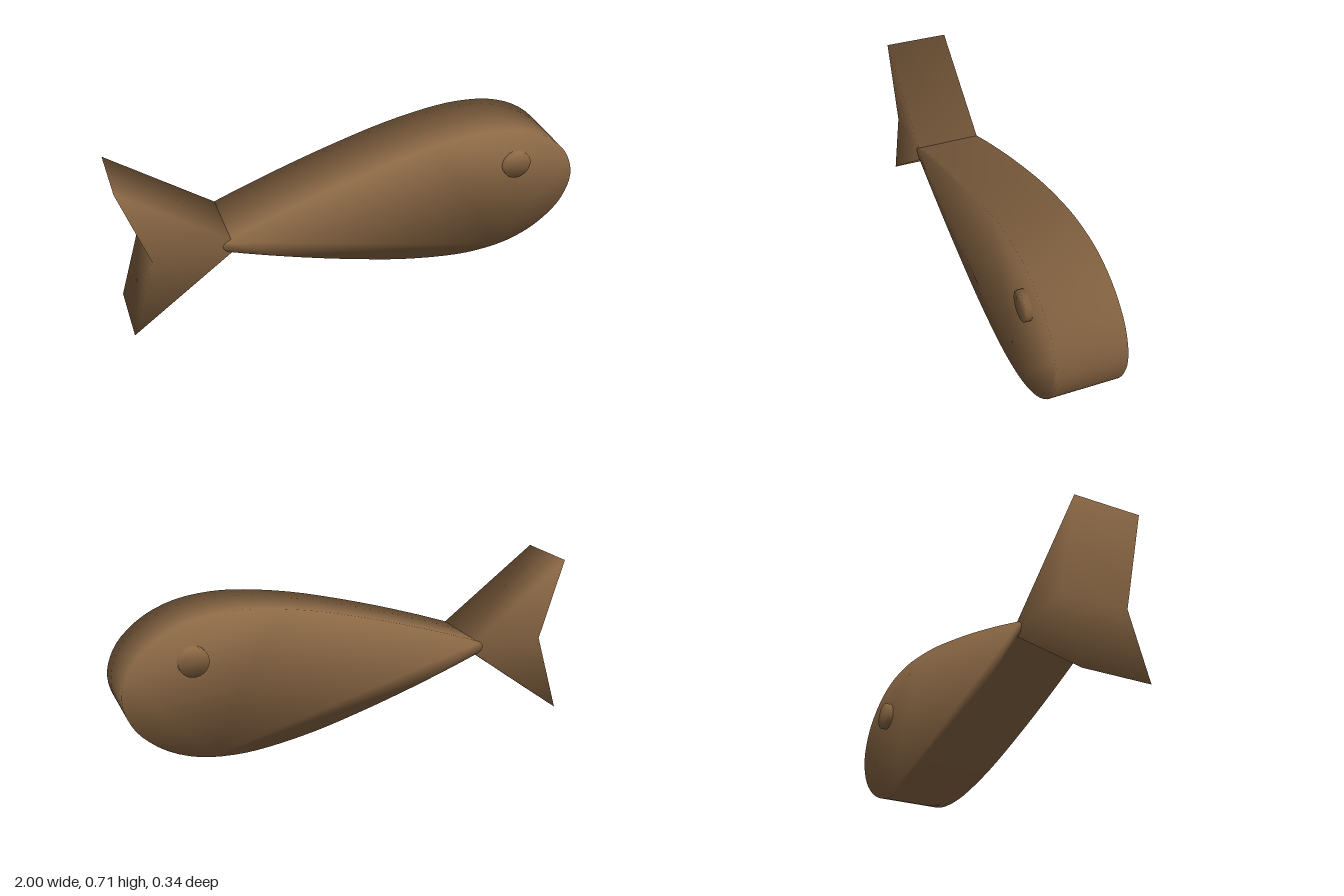
import * as THREE from 'three';

const MID = 0.355; // height of the fish's centre line

// Flat slab from a counter-clockwise outline; rim normals blend face and side for a soft look
function slab(outline, halfDepth) {
  const n = outline.length, pos = [], nor = [], idx = [];
  const edgeNormal = (a, b) => new THREE.Vector2(b.y - a.y, a.x - b.x).normalize();
  for (const s of [1, -1]) {
    outline.forEach((p, i) => {
      const side = edgeNormal(outline[(i + n - 1) % n], p)
        .add(edgeNormal(p, outline[(i + 1) % n])).normalize();
      const v = new THREE.Vector3(side.x, side.y, s).normalize();
      pos.push(p.x, p.y, s * halfDepth);
      nor.push(v.x, v.y, v.z);
    });
  }
  for (const [a, b, c] of THREE.ShapeUtils.triangulateShape(outline, [])) {
    idx.push(a, b, c, n + a, n + c, n + b);
  }
  for (let i = 0; i < n; i++) {
    const j = (i + 1) % n;
    idx.push(i, n + i, j, j, n + i, n + j);
  }
  const g = new THREE.BufferGeometry();
  g.setAttribute('position', new THREE.Float32BufferAttribute(pos, 3));
  g.setAttribute('normal', new THREE.Float32BufferAttribute(nor, 3));
  g.setIndex(idx);
  return g;
}

export function createModel() {
  const model = new THREE.Group();
  model.name = 'fish';
  const wood = new THREE.MeshStandardMaterial({ color: 0x8b6845 });
  wood.name = 'brown wood';

  const add = (name, outline, halfDepth) => {
    const mesh = new THREE.Mesh(slab(outline, halfDepth), wood);
    mesh.name = name;
    model.add(mesh);
    return mesh;
  };

  // Body: teardrop, half-heights from tail to nose, mirrored about the centre line
  const half = [
    [-0.6, 0], [-0.59, 0.018], [-0.56, 0.034], [-0.4, 0.092], [-0.2, 0.158], [0, 0.217],
    [0.2, 0.268], [0.4, 0.302], [0.55, 0.311], [0.7, 0.294], [0.83, 0.243], [0.93, 0.163],
    [0.98, 0.083], [0.998, 0],
  ];
  const lower = half.map(([x, h]) => new THREE.Vector2(x, MID - h));
  const upper = half.slice(0, -1).reverse().map(([x, h]) => new THREE.Vector2(x, MID + h));
  const bodyOutline = new THREE.SplineCurve([...lower, ...upper]).getPoints(78);
  bodyOutline.pop(); // last point repeats the first
  add('body', bodyOutline, 0.144);

  // Tail: forked fin whose tip is buried in the body
  const tailOutline = [[-1, 0], [-0.52, MID], [-1, 0.707], [-0.89, MID]]
    .map(([x, y]) => new THREE.Vector2(x, y));
  add('tailFin', tailOutline, 0.1435);

  // Eyes: one round peg showing on both sides
  const eyeOutline = [];
  for (let i = 0; i < 32; i++) {
    const a = (i / 32) * Math.PI * 2;
    eyeOutline.push(new THREE.Vector2(0.71 + 0.0625 * Math.cos(a), 0.482 + 0.0625 * Math.sin(a)));
  }
  add('eyePeg', eyeOutline, 0.168);

  return model;
}
